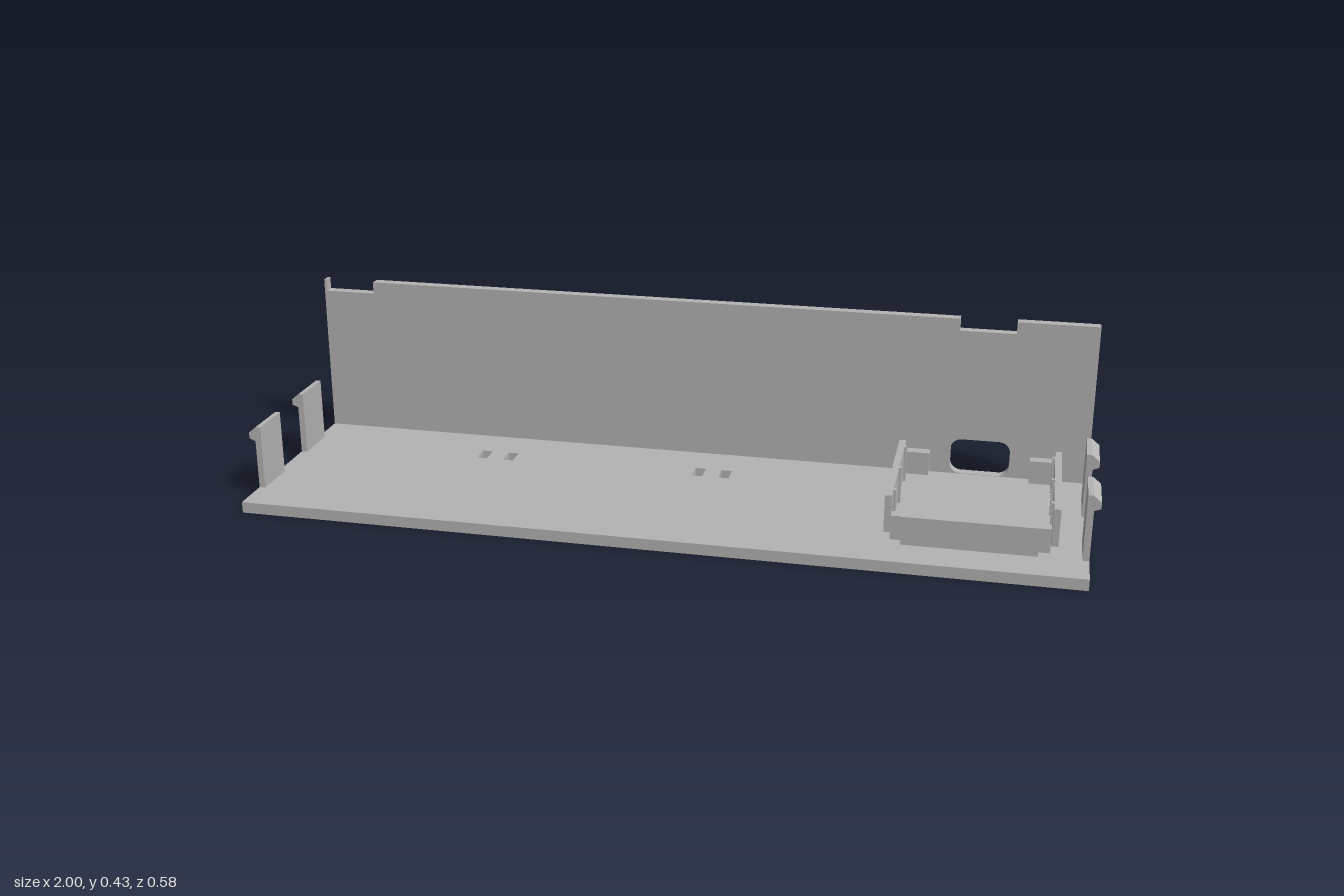
import * as THREE from 'three';

const FLOOR = 0.027;

// Closed shape from [x, y] points
function polygon(points) {
  return new THREE.Shape(points.map(([x, y]) => new THREE.Vector2(x, y)));
}

// Rounded rectangle path, centred on (cx, cy)
function roundedHole(cx, cy, w, h, r) {
  const x = w / 2 - r, y = h / 2 - r;
  const path = new THREE.Path();
  path.absarc(cx + x, cy + y, r, 0, Math.PI / 2);
  path.absarc(cx - x, cy + y, r, Math.PI / 2, Math.PI);
  path.absarc(cx - x, cy - y, r, Math.PI, Math.PI * 1.5);
  path.absarc(cx + x, cy - y, r, Math.PI * 1.5, Math.PI * 2);
  path.closePath();
  return path;
}

function extrude(shape, depth) {
  return new THREE.ExtrudeGeometry(shape, { depth, bevelEnabled: false, curveSegments: 8 });
}

export function createModel() {
  const model = new THREE.Group();
  model.name = 'enclosureShell';
  const grey = new THREE.MeshStandardMaterial({ color: 0xb3b3b3 });
  grey.name = 'grey plastic';

  function add(name, geometry, parent = model) {
    const mesh = new THREE.Mesh(geometry, grey);
    mesh.name = name;
    parent.add(mesh);
    return mesh;
  }

  // Box given by its limits on each axis
  function addBox(name, x0, x1, y0, y1, z0, z1, parent) {
    const mesh = add(name, new THREE.BoxGeometry(x1 - x0, y1 - y0, z1 - z0), parent);
    mesh.position.set((x0 + x1) / 2, (y0 + y1) / 2, (z0 + z1) / 2);
  }

  // Floor in two layers: cable-tie holes go through, the oval recess is only in the lower one
  function addFloorLayer(name, y0, y1, recessed) {
    const shape = polygon([[-0.985, -0.29], [0.985, -0.29], [0.985, 0.265], [-0.985, 0.265]]);
    for (const x of [-0.518, -0.449, 0.041, 0.107]) {
      shape.holes.push(new THREE.Path([
        [x - 0.013, 0.108], [x - 0.013, 0.158], [x + 0.013, 0.158], [x + 0.013, 0.108],
      ].map(([a, b]) => new THREE.Vector2(a, b))));
    }
    if (recessed) shape.holes.push(roundedHole(-0.343, -0.015, 0.2, 0.1, 0.049));
    const geometry = extrude(shape, y1 - y0);
    geometry.rotateX(-Math.PI / 2);
    geometry.translate(0, y0, 0);
    add(name, geometry);
  }
  addFloorLayer('floorUnderside', 0, 0.015, true);
  addFloorLayer('floorTop', 0.015, FLOOR, false);

  // Back wall with two top notches and a connector window
  const wall = polygon([
    [-0.985, 0], [0.985, 0], [0.985, 0.427], [0.79, 0.427], [0.79, 0.397], [0.655, 0.397],
    [0.655, 0.427], [-0.85, 0.427], [-0.85, 0.397], [-0.979, 0.397], [-0.979, 0.427], [-0.985, 0.427],
  ]);
  wall.holes.push(roundedHole(0.722, 0.073, 0.145, 0.09, 0.027));
  add('backWall', extrude(wall, 0.026).translate(0, 0, -0.29));

  // Snap clips with outward barbs, two at each end
  const clip = extrude(polygon([
    [0.97, FLOOR], [0.985, FLOOR], [0.985, 0.147], [1, 0.153],
    [1, 0.168], [0.982, 0.183], [0.97, 0.183],
  ]), 0.111);
  for (const [side, turn] of [['left', 0], ['right', Math.PI]]) {
    for (const [place, z] of [['Front', 0.083], ['Rear', -0.163]]) {
      const mesh = add(`${side}${place}Clip`, clip);
      mesh.rotation.y = turn;
      mesh.position.z = turn ? z + 0.111 : z;
    }
  }

  // Circuit board cradle beside the window
  const cradle = new THREE.Group();
  cradle.name = 'boardCradle';
  model.add(cradle);
  addBox('cradleFrontOuterWall', 0.57, 0.874, FLOOR, 0.095, 0.17, 0.195, cradle);
  addBox('cradleFrontInnerWall', 0.544, 0.9, FLOOR, 0.085, 0.142, 0.17, cradle);
  for (const side of [-1, 1]) {
    const label = side > 0 ? 'Left' : 'Right';
    const span = (a, b) => [0.722 + side * a, 0.722 + side * b].sort((p, q) => p - q);
    addBox(`cradle${label}Rail`, ...span(0.18, 0.196), FLOOR, 0.117, -0.231, 0.131, cradle);
    addBox(`cradle${label}RearStop`, ...span(0.122, 0.178), FLOOR, 0.085, -0.264, -0.236, cradle);
    // Small grip ribs on the inner face of the rail
    for (const z of [-0.19, -0.05, 0.09]) {
      addBox(`cradle${label}Rib`, ...span(0.174, 0.18), FLOOR, 0.117, z - 0.006, z + 0.006, cradle);
    }
  }

  return model;
}
